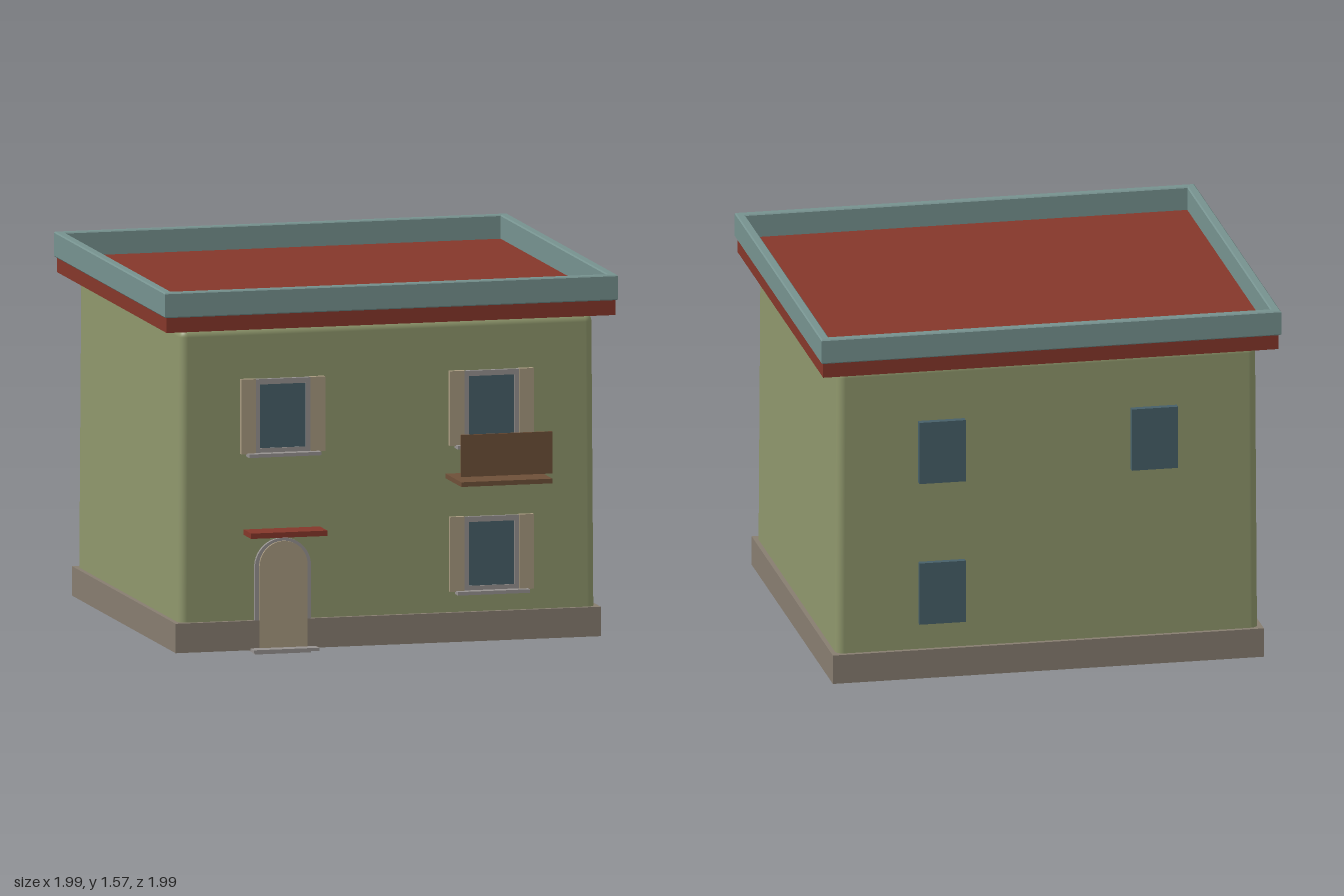
import * as THREE from 'three';
import { RoundedBoxGeometry } from 'three/addons/geometries/RoundedBoxGeometry.js';

const mat = (color) => new THREE.MeshStandardMaterial({ color });
const wallMat = mat(0x8f976c), redMat = mat(0x85372a), tealMat = mat(0x76928f), stoneMat = mat(0x877d70);
const glassMat = mat(0x476069), shutterMat = mat(0xa89a80), trimMat = mat(0x969290), woodMat = mat(0x6e5038);

export function createModel() {
  const model = new THREE.Group();

  const add = (name, geometry, material, parent = model) => {
    const mesh = new THREE.Mesh(geometry, material);
    mesh.name = name;
    parent.add(mesh);
    return mesh;
  };
  // Box given by its limits on each axis
  const box = (name, material, [x0, x1], [y0, y1], [z0, z1], parent) => {
    const mesh = add(name, new THREE.BoxGeometry(x1 - x0, y1 - y0, z1 - z0), material, parent);
    mesh.position.set((x0 + x1) / 2, (y0 + y1) / 2, (z0 + z1) / 2);
    return mesh;
  };
  const rect = (Type, x0, x1, y0, y1) => new Type([
    new THREE.Vector2(x0, y0), new THREE.Vector2(x1, y0),
    new THREE.Vector2(x1, y1), new THREE.Vector2(x0, y1),
  ]);

  // Walls: rounded block, narrowing slightly upward
  const walls = new RoundedBoxGeometry(1.82, 1.3, 1.65, 4, 0.035);
  const p = walls.attributes.position;
  for (let i = 0; i < p.count; i++) {
    const s = 1.003 - 0.008 * (p.getY(i) / 1.3 + 0.5);
    p.setX(i, p.getX(i) * s);
    p.setZ(i, p.getZ(i) * s);
  }
  add('walls', walls, wallMat).position.set(0, 0.75, -0.085);

  // Plinth and roof slab
  box('plinth', stoneMat, [-0.932, 0.932], [0.02, 0.146], [-0.932, 0.762]);
  box('roofSlab', redMat, [-0.984, 0.984], [1.4, 1.47], [-0.982, 0.808]);

  // Parapet ring around the roof
  const ring = rect(THREE.Shape, -0.989, 0.989, -0.9, 0.9);
  ring.holes.push(rect(THREE.Path, -0.96, 0.96, -0.871, 0.871));
  const parapet = add('parapet', new THREE.ExtrudeGeometry(ring, {
    depth: 0.098, bevelEnabled: true, bevelSize: 0.005, bevelThickness: 0.005, bevelSegments: 1,
  }), tealMat);
  parapet.rotation.x = -Math.PI / 2;
  parapet.position.set(0, 1.469, -0.09);

  // Front windows: frame, glass, shutters and sill
  const frontWindow = (x, y) => {
    const g = new THREE.Group();
    g.name = 'frontWindow';
    g.position.set(x, y, 0);
    model.add(g);
    const frame = rect(THREE.Shape, -0.125, 0.125, 0, 0.318);
    frame.holes.push(rect(THREE.Path, -0.1, 0.1, 0.022, 0.295));
    add('windowFrame', new THREE.ExtrudeGeometry(frame, { depth: 0.025, bevelEnabled: false }), trimMat, g)
      .position.z = 0.73;
    box('windowGlass', glassMat, [-0.102, 0.102], [0.02, 0.297], [0.73, 0.75], g);
    for (const s of [-1, 1]) {
      box('shutter', shutterMat, [s * 0.152 - 0.032, s * 0.152 + 0.032], [0, 0.32], [0.735, 0.762], g);
    }
    box('windowSill', trimMat, [-0.158, 0.158], [-0.012, 0.003], [0.73, 0.794], g);
  };
  frontWindow(-0.46, 0.86);
  frontWindow(0.455, 0.86);
  frontWindow(0.455, 0.235);

  // Plain back windows
  for (const [x, y] of [[0.458, 0.885], [0.458, 0.26], [-0.46, 0.885]]) {
    box('backWindow', glassMat, [x - 0.1, x + 0.1], [y, y + 0.272], [-0.936, -0.9]);
  }

  // Arched door with a slightly larger surround
  const arch = (r, bottom, top) => {
    const s = new THREE.Shape();
    s.moveTo(-r, bottom);
    s.lineTo(r, bottom);
    s.lineTo(r, top - r);
    s.absarc(0, top - r, r, 0, Math.PI, false);
    s.closePath();
    return s;
  };
  const archPart = (name, material, shape, z0, z1) =>
    add(name, new THREE.ExtrudeGeometry(shape, { depth: z1 - z0, bevelEnabled: false, curveSegments: 20 }), material)
      .position.set(-0.46, 0, z0);
  archPart('doorSurround', trimMat, arch(0.123, 0, 0.495), 0.73, 0.757);
  archPart('door', shutterMat, arch(0.105, 0.02, 0.483), 0.735, 0.767);
  box('doorStep', trimMat, [-0.605, -0.318], [0.015, 0.028], [0.735, 0.82]);
  box('doorCanopy', redMat, [-0.628, -0.294], [0.512, 0.535], [0.735, 0.862]);

  // Balcony
  box('balconyFloor', woodMat, [0.256, 0.656], [0.72, 0.74], [0.745, 1.0]);
  box('balconyPanel', woodMat, [0.256, 0.656], [0.762, 0.942], [0.988, 0.998]);

  return model;
}
